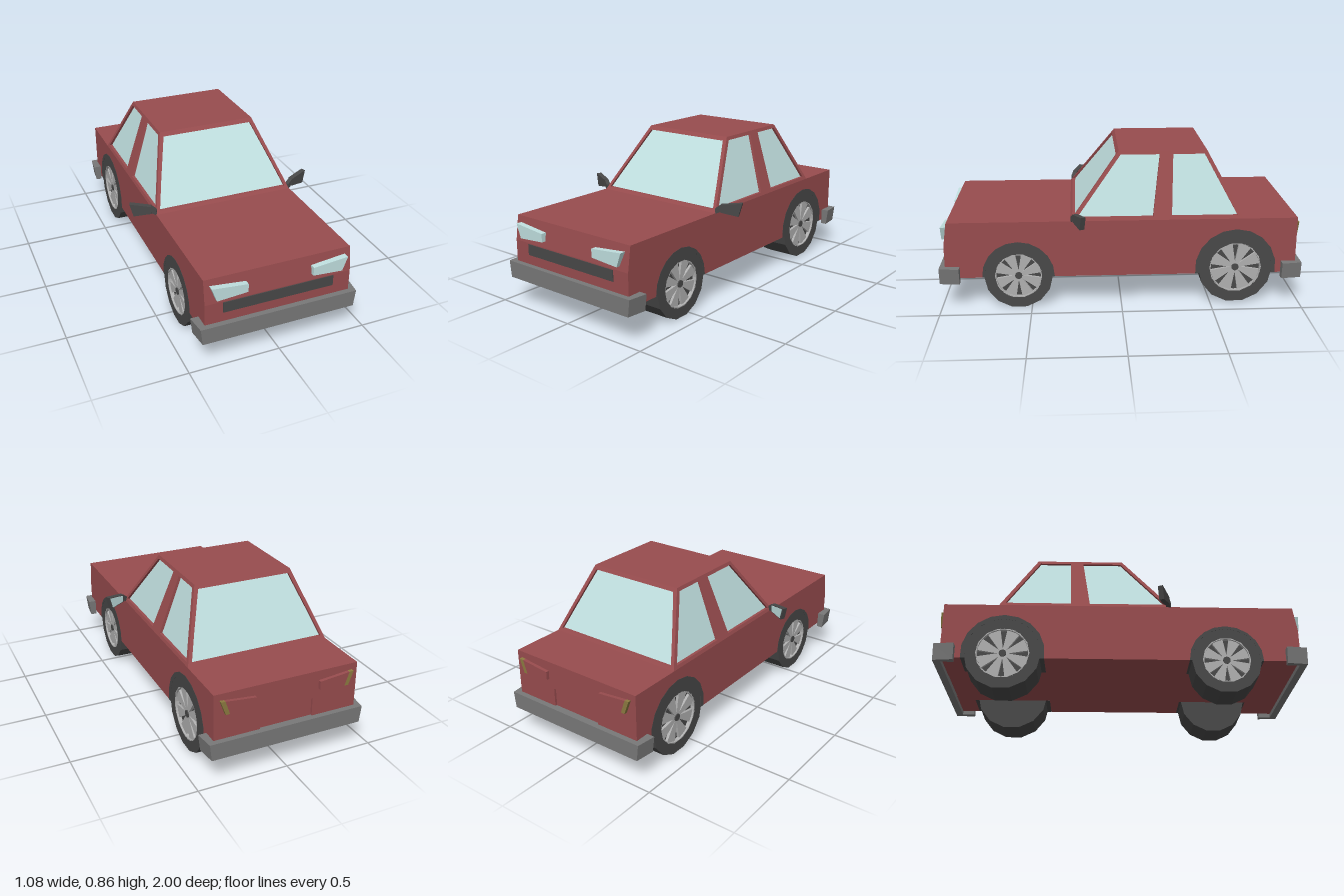
import * as THREE from 'three';

const mat = (color) => new THREE.MeshStandardMaterial({ color, flatShading: true, side: THREE.DoubleSide });
const red = mat(0x984c4e), dark = mat(0x484848), grey = mat(0x787878);
const metal = mat(0xb0b0b0), glass = mat(0xc0dfdf), amber = mat(0x8c7a40);
const V = (pts) => pts.map(([a, b]) => new THREE.Vector2(a, b));
const SIDES = [1, -1];

export function createModel() {
  const car = new THREE.Group();
  car.name = 'car';

  const add = (parent, name, geometry, material) => {
    const mesh = new THREE.Mesh(geometry, material);
    mesh.name = name;
    parent.add(mesh);
    return mesh;
  };

  // Slab cut from an outline; its face lies at `offset`, leaning back by `slope` above the belt line,
  // and is turned about y to face front (0), back (PI) or a side (+-PI/2)
  const BELT = 0.5;
  const slab = (pts, { holes = [], depth = 0.02, offset = 0, slope = 0, turn = 0 } = {}) => {
    const shape = new THREE.Shape(V(pts));
    holes.forEach((h) => shape.holes.push(new THREE.Path(V(h))));
    const g = new THREE.ExtrudeGeometry(shape, { depth, bevelEnabled: false });
    const p = g.attributes.position;
    for (let i = 0; i < p.count; i++) {
      p.setZ(i, p.getZ(i) - depth + offset - slope * (p.getY(i) - BELT));
    }
    g.rotateY(turn);
    g.computeVertexNormals();
    return g;
  };
  // Side outlines are given as [z, y]
  const sideSlab = (s, pts, o) => {
    const flip = (list) => list.map(([z, y]) => [-s * z, y]);
    return slab(flip(pts), { ...o, holes: (o.holes || []).map(flip), turn: s * Math.PI / 2 });
  };

  const FLOOR = 0.18, W = 0.405, INNER = 0.215, REAR = -0.958;
  const axles = [
    { name: 'front', z: 0.57, y: 0.185, r: 0.189, arch: 0.2, rim: 0.13 },
    { name: 'rear', z: -0.635, y: 0.212, r: 0.207, arch: 0.226, rim: 0.145 },
  ];
  // Arc over a wheel from rear to front, ending at floor level
  const archArc = ({ z, y }, r) => {
    const a0 = Math.asin((FLOOR - y) / r), n = 10;
    return Array.from({ length: n + 1 }, (_, i) => {
      const a = Math.PI - a0 - (i / n) * (Math.PI - 2 * a0);
      return [z + r * Math.cos(a), y + r * Math.sin(a)];
    });
  };

  // Lower body: plain core, and flanks with wheel arches
  const nose = [[0.97, FLOOR], [0.97, 0.365], [0.95, BELT]];
  add(car, 'bodyCore', sideSlab(1, [[REAR, FLOOR], ...nose, [REAR, BELT]], { depth: 2 * INNER, offset: INNER }), red);
  for (const s of SIDES) {
    const outline = [[REAR, FLOOR], ...archArc(axles[1], axles[1].arch), ...archArc(axles[0], axles[0].arch),
      ...nose, [REAR, BELT]];
    add(car, 'bodyFlank', sideSlab(s, outline, { depth: W - INNER, offset: W }), red);
    for (const a of axles) {
      const ring = [...archArc(a, a.arch), ...archArc(a, a.r - 0.005).reverse()];
      add(car, a.name + 'ArchLiner', sideSlab(s, ring, { depth: W - INNER, offset: W + 0.001 }), dark);
    }
  }
  // Rear skin with a recess for the plate
  add(car, 'rearPanel', slab([[-W, FLOOR], [-0.15, FLOOR], [-0.15, 0.35], [0.15, 0.35], [0.15, FLOOR],
    [W, FLOOR], [W, BELT], [-W, BELT]], { depth: 0.012, offset: 0.97, turn: Math.PI }), red);

  // Cabin: four leaning frames with inset glass, and a roof
  const TOP = 0.857, TW = 0.28, zF = 0.28, zFT = 0.01, zB = -0.67, zBT = -0.475;
  const H = TOP - BELT;
  const inset = 0.016;
  const sideWindows = [
    [[0.25, 0.518], [0.008, 0.838], [-0.215, 0.838], [-0.172, 0.518]],
    [[-0.275, 0.518], [-0.288, 0.838], [-0.463, 0.838], [-0.645, 0.518]],
  ];
  for (const s of SIDES) {
    const slope = (W - TW) / H;
    add(car, 'sideFrame', sideSlab(s, [[zF, BELT], [zFT, TOP], [zBT, TOP], [zB, BELT]],
      { holes: sideWindows, depth: 0.02, offset: W, slope }), red);
    sideWindows.forEach((w) => add(car, 'sideWindow',
      sideSlab(s, w, { depth: 0.004, offset: W - inset, slope }), glass));
  }
  const screen = [[-0.382, 0.515], [0.382, 0.515], [0.264, 0.836], [-0.264, 0.836]];
  for (const [name, base, top, turn] of [['windshield', zF, zFT, 0], ['rearWindow', -zB, -zBT, Math.PI]]) {
    const slope = (base - top) / H;
    add(car, name + 'Frame', slab([[-W, BELT], [W, BELT], [TW, TOP], [-TW, TOP]],
      { holes: [screen], depth: 0.024, offset: base, slope, turn }), red);
    add(car, name, slab(screen, { depth: 0.004, offset: base - inset, slope, turn }), glass);
  }
  const roof = new THREE.PlaneGeometry(2 * TW, zFT - zBT).rotateX(-Math.PI / 2);
  add(car, 'roof', roof, red).position.set(0, TOP, (zFT + zBT) / 2);

  // Bumpers wrapping round the corners, slightly narrower below
  for (const turn of [0, Math.PI]) {
    const u = [[-0.45, 0.89], [-0.437, 1], [0.437, 1], [0.45, 0.89], [0.404, 0.89], [0.404, 0.96],
      [-0.404, 0.96], [-0.404, 0.89]].map(([x, z]) => [x, -z]);
    const g = slab(u, { depth: 0.092 }).rotateX(-Math.PI / 2).translate(0, 0.247, 0);
    const p = g.attributes.position;
    for (let i = 0; i < p.count; i++) {
      if (p.getY(i) < 0.2 && Math.abs(p.getX(i)) > 0.42) p.setX(i, p.getX(i) * 0.975);
    }
    g.rotateY(turn).computeVertexNormals();
    add(car, turn ? 'rearBumper' : 'frontBumper', g, grey);
  }

  // Grille and lamps
  add(car, 'grille', slab([[-0.307, 0.3], [0.307, 0.3], [0.307, 0.36], [-0.307, 0.36]], { offset: 0.974 }), dark);
  for (const s of SIDES) {
    const lamp = (pts) => pts.map(([x, y]) => [s * x, y]);
    add(car, 'headlight', slab(lamp([[0.18, 0.4], [0.347, 0.388], [0.375, 0.465], [0.18, 0.446]]),
      { depth: 0.04, offset: 0.988 }), glass);
    const rear = { depth: 0.03, offset: 0.988, turn: Math.PI };
    add(car, 'tailLight', slab(lamp([[0.18, 0.4], [0.325, 0.39], [0.35, 0.463], [0.18, 0.446]]), rear), red);
    add(car, 'turnSignal', slab(lamp([[0.325, 0.39], [0.347, 0.388], [0.375, 0.465], [0.35, 0.463]]), rear), amber);
  }

  // Door mirrors, swept back, on short arms
  for (const s of SIDES) {
    const mirror = new THREE.Group();
    mirror.name = 'doorMirror';
    const face = [[0, 0.505], [0, 0.548], [0.117, 0.563], [0.097, 0.489]];
    const scaled = (k) => face.map(([x, y]) => [s * (0.055 + (x - 0.055) * k), 0.526 + (y - 0.526) * k]);
    add(mirror, 'mirrorHousing', slab(scaled(1), { depth: 0.028, offset: 0.014 }), dark);
    add(mirror, 'mirrorGlass', slab(scaled(0.82), { depth: 0.004, offset: -0.013 }), glass);
    const arm = slab([[-0.03, 0.495], [-0.03, 0.525], [0.002, 0.548], [0.002, 0.51]].map(([x, y]) => [s * x, y]),
      { depth: 0.024, offset: 0.012 });
    add(mirror, 'mirrorArm', arm, dark);
    mirror.position.set(s * 0.425, 0, 0.255);
    mirror.rotation.y = s * 0.4;
    car.add(mirror);
  }

  // Wheels: fourteen-sided tyre with a recessed rim of eight spokes
  const makeWheel = ({ name, r, rim }) => {
    const wheel = new THREE.Group();
    wheel.name = name + 'Wheel';
    const h = (W - INNER) / 2;
    const profile = V([[0, -h], [r, -h], [r, h], [rim, h], [rim, h - 0.025], [0, h - 0.025]]);
    add(wheel, 'tyre', new THREE.LatheGeometry(profile, 14).rotateZ(-Math.PI / 2), dark);
    const circle = (q) => Array.from({ length: 28 }, (_, i) =>
      [q * Math.cos(i * Math.PI / 14), q * Math.sin(i * Math.PI / 14)]);
    add(wheel, 'rimRing', slab(circle(rim), { holes: [circle(rim - 0.007)], depth: 0.022, offset: h,
      turn: Math.PI / 2 }), metal);
    for (let i = 0; i < 8; i++) {
      const g = slab([[-0.009, 0.018], [0.009, 0.018], [rim * 0.25, rim * 0.94], [-rim * 0.25, rim * 0.94]],
        { depth: 0.015, offset: h - 0.01 });
      add(wheel, 'spoke', g.rotateZ((i + 0.5) * Math.PI / 4).rotateY(Math.PI / 2), metal);
    }
    add(wheel, 'hub', new THREE.CylinderGeometry(0.02, 0.02, 0.024, 14).rotateZ(-Math.PI / 2), dark)
      .position.x = h - 0.016;
    return wheel;
  };
  for (const a of axles) {
    for (const s of SIDES) {
      const wheel = makeWheel(a);
      wheel.position.set(s * (W + INNER) / 2, a.y, a.z);
      wheel.rotation.y = s > 0 ? 0 : Math.PI;
      car.add(wheel);
    }
  }
  return car;
}
